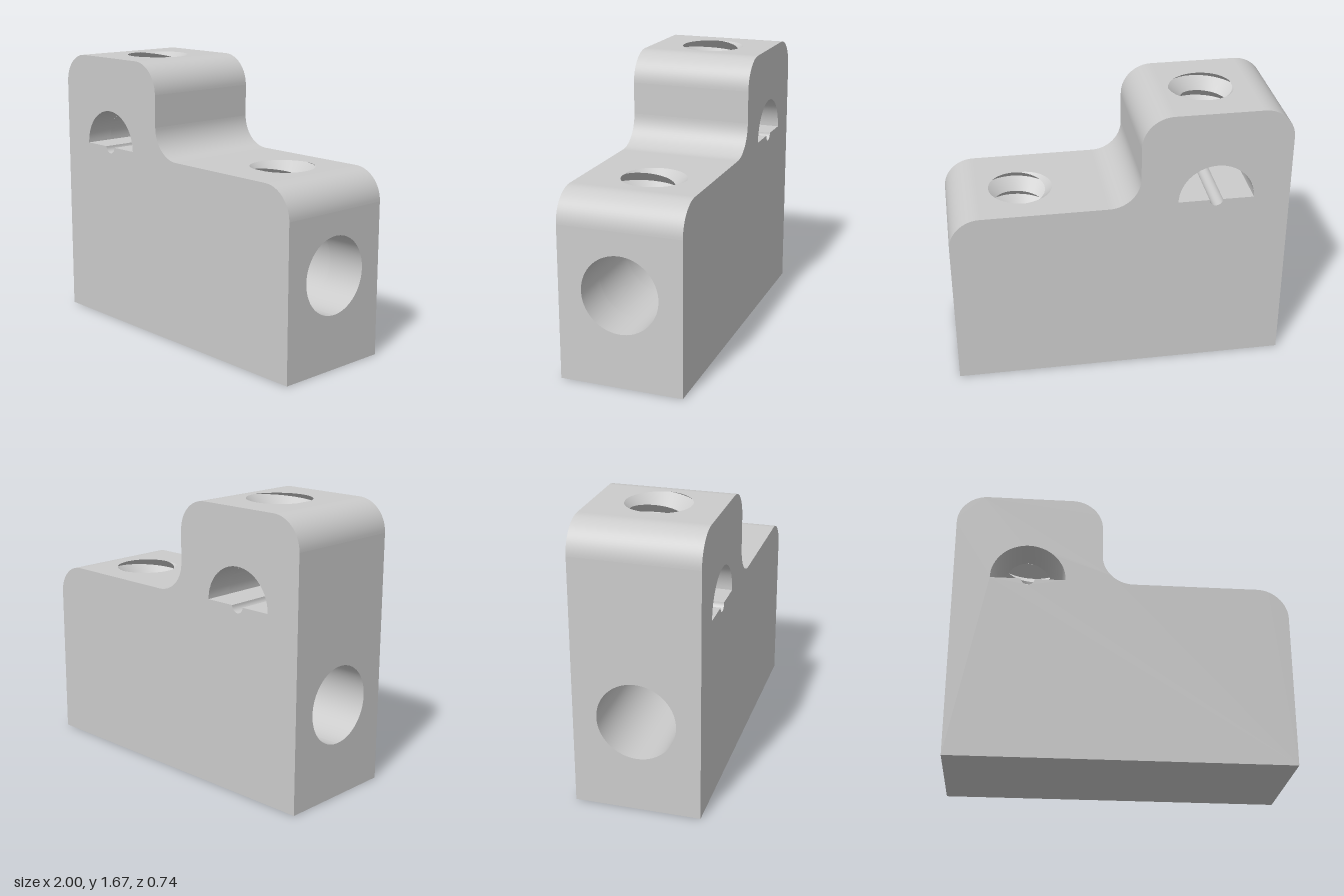
import * as THREE from 'three';
import { toCreasedNormals } from 'three/addons/utils/BufferGeometryUtils.js';

const PI = Math.PI, HALF = 0.37;              // HALF: half the block depth
const BORE = { y: 0.557, r: 0.23 };           // round bore along x
const ARCH = { x: -0.56, y: 1.12, r: 0.225 }; // half-round slot along z
const GROOVE = 0.04;
const FILLET = 0.185;
const MINOR = 0.15, DEPTH = 0.077, PITCH = 0.13;

const material = new THREE.MeshStandardMaterial({ color: 0xcccccc });
const lerp = THREE.MathUtils.lerp;

// Grid surface; its front is on the side of du x dv
function surf(f, nu, nv) {
  const pos = [], idx = [];
  for (let i = 0; i <= nu; i++) for (let j = 0; j <= nv; j++) pos.push(...f(i / nu, j / nv));
  for (let i = 0; i < nu; i++) for (let j = 0; j < nv; j++) {
    const a = i * (nv + 1) + j, b = a + nv + 1;
    idx.push(a, b, b + 1, a, b + 1, a + 1);
  }
  const g = new THREE.BufferGeometry();
  g.setAttribute('position', new THREE.Float32BufferAttribute(pos, 3));
  g.setIndex(idx);
  g.computeVertexNormals();
  return g;
}

function add(group, name, geometry) {
  const m = new THREE.Mesh(geometry, material);
  m.name = name;
  group.add(m);
  return m;
}

// Sampled arc in the plane
function arc(cx, cy, r, a0, a1, n = 20) {
  return Array.from({ length: n + 1 }, (_, i) => {
    const a = lerp(a0, a1, i / n);
    return [cx + r * Math.cos(a), cy + r * Math.sin(a)];
  });
}

// Strip swept through the depth along a path of [x, y] points
const strip = (path) => surf((u, v) => {
  const [x, y] = path[Math.round(v * (path.length - 1))];
  return [x, y, lerp(-HALF, HALF, u)];
}, 1, path.length - 1);

// Flat face with one hole
function face(outline, hole) {
  const toV = (p) => new THREE.Vector2(p[0], p[1]);
  const s = new THREE.Shape(outline.map(toV));
  if (hole) s.holes.push(new THREE.Path(hole.map(toV)));
  return new THREE.ShapeGeometry(s);
}
const rect = (x0, x1, y0, y1) => [[x0, y0], [x1, y0], [x1, y1], [x0, y1]];

// Tunnel wall along local x with a round opening in its roof
function tunnel(name, r, x0, x1, hx, maxAngle) {
  const g = new THREE.Group();
  g.name = name;
  const s = 0.2, a = 1;
  const wrap = (x, t) => [x, r * Math.cos(t), r * Math.sin(t)];
  const patch = (xa, xb, ta, tb) => add(g, name + 'Wall',
    surf((u, v) => wrap(lerp(xa, xb, u), lerp(ta, tb, v)), 1, Math.ceil((tb - ta) * 12)));
  patch(x0, hx - s, -maxAngle, maxAngle);
  patch(hx + s, x1, -maxAngle, maxAngle);
  patch(hx - s, hx + s, -maxAngle, -a);
  patch(hx - s, hx + s, a, maxAngle);
  add(g, name + 'Roof', surf((u, v) => {
    const c = Math.cos(v * 2 * PI), d = Math.sin(v * 2 * PI), m = Math.max(Math.abs(c), Math.abs(d));
    return wrap(hx + lerp(MINOR * c, s * c / m, u), lerp(Math.asin(MINOR * d / r), a * d / m, u));
  }, 8, 72));
  return g;
}

// Vertical threaded hole: radius at an angle and height, crest of the groove at `start` on the top
function threadedHole(x, top, start, floor) {
  const radius = (a, y) => {
    const t = (y - top) / PITCH - (a - start) / (2 * PI);
    const tri = 2 * Math.abs(t - Math.floor(t) - 0.5);
    return MINOR + DEPTH * tri * THREE.MathUtils.clamp((y - floor(a)) / 0.06, 0, 1);
  };
  const rows = 48;
  const wall = surf((u, v) => {
    const a = v * 2 * PI;
    const helix = top + PITCH * ((a - start) / (2 * PI) + (u * rows - 36) / 8);
    // the first and last rows close on the floor and the top
    const y = u === 0 ? floor(a) : u === 1 ? top : THREE.MathUtils.clamp(helix, floor(a), top);
    const r = radius(a, y);
    return [x + r * Math.cos(a), y, -r * Math.sin(a)];
  }, rows, 72);
  const mouth = Array.from({ length: 72 }, (_, i) => {
    const a = i / 72 * 2 * PI, r = radius(a, top);
    return [x + r * Math.cos(a), r * Math.sin(a)];
  });
  return { wall: toCreasedNormals(wall, 0.6), mouth };
}

export function createModel() {
  const model = new THREE.Group();
  model.name = 'terminalBlock';

  // Stepped side profile
  const corners = {
    upperOuterCorner: arc(-0.815, 1.49, FILLET, PI, PI / 2),
    upperInnerCorner: arc(-0.3, 1.49, FILLET, PI / 2, 0),
    stepFillet: arc(-0.115 + FILLET, 1.295, FILLET, PI, 1.5 * PI),
    lowerCorner: arc(0.815, 0.925, FILLET, PI / 2, 0),
  };
  const profile = [[-1, 0], ...Object.values(corners).flat(), [1, 0]];

  // Slot outline with the small groove in its floor
  const groove = arc(ARCH.x, ARCH.y, GROOVE, PI, 2 * PI, 14);
  const slot = [...arc(ARCH.x, ARCH.y, ARCH.r, 0, PI, 48), ...groove];

  // Front and back faces
  for (const side of [1, -1]) {
    const flip = (pts) => pts.map(([x, y]) => [x * side, y]);
    const g = face(flip(profile), flip(slot));
    g.translate(0, 0, HALF);
    if (side < 0) g.rotateY(PI);
    add(model, side > 0 ? 'frontFace' : 'backFace', g);
  }

  // Rounded corners, step wall and base
  for (const [name, path] of Object.entries(corners)) add(model, name, strip(path));
  add(model, 'stepWall', strip([[-0.115, 1.49], [-0.115, 1.295]]));
  add(model, 'base', strip([[1, 0], [-1, 0]]));

  // End faces pierced by the bore
  for (const [side, height, name] of [[1, 0.925, 'leftEnd'], [-1, 1.49, 'rightEnd']]) {
    const g = face(rect(-HALF, HALF, 0, height), arc(0, BORE.y, BORE.r, 0, 2 * PI, 76).slice(0, -1));
    add(model, name, g.translate(0, 0, 1).rotateY(side * PI / 2));
  }

  // Threaded holes and the flat tops they open through
  const roof = (b, off) => b.y + Math.sqrt(b.r ** 2 - (MINOR * off) ** 2);
  const holes = [
    ['upper', ARCH.x, 1.675, 0, (a) => roof(ARCH, Math.cos(a)), -0.815, -0.3],
    ['lower', 0.555, 1.11, PI / 2, (a) => roof(BORE, Math.sin(a)), -0.115 + FILLET, 0.815],
  ];
  for (const [name, x, top, start, floor, x0, x1] of holes) {
    const { wall, mouth } = threadedHole(x, top, start, floor);
    add(model, name + 'ThreadedHole', wall);
    add(model, name + 'Top', face(rect(x0, x1, -HALF, HALF), mouth).rotateX(-PI / 2).translate(0, top, 0));
  }

  // Bore along the length
  const bore = tunnel('bore', BORE.r, -1, 1, 0.555, PI);
  bore.position.y = BORE.y;
  model.add(bore);

  // Half-round slot through the depth, with its floor and groove
  const arch = tunnel('slotArch', ARCH.r, -HALF, HALF, 0, PI / 2);
  arch.position.set(ARCH.x, ARCH.y, 0);
  arch.rotation.y = PI / 2;
  model.add(arch);
  for (const s of [-1, 1]) {
    const xs = [s * GROOVE, s * ARCH.r].sort((a, b) => a - b);
    add(model, 'slotFloor', strip(xs.map((x) => [ARCH.x + x, ARCH.y])));
  }
  add(model, 'slotGroove', strip(groove));

  return model;
}
